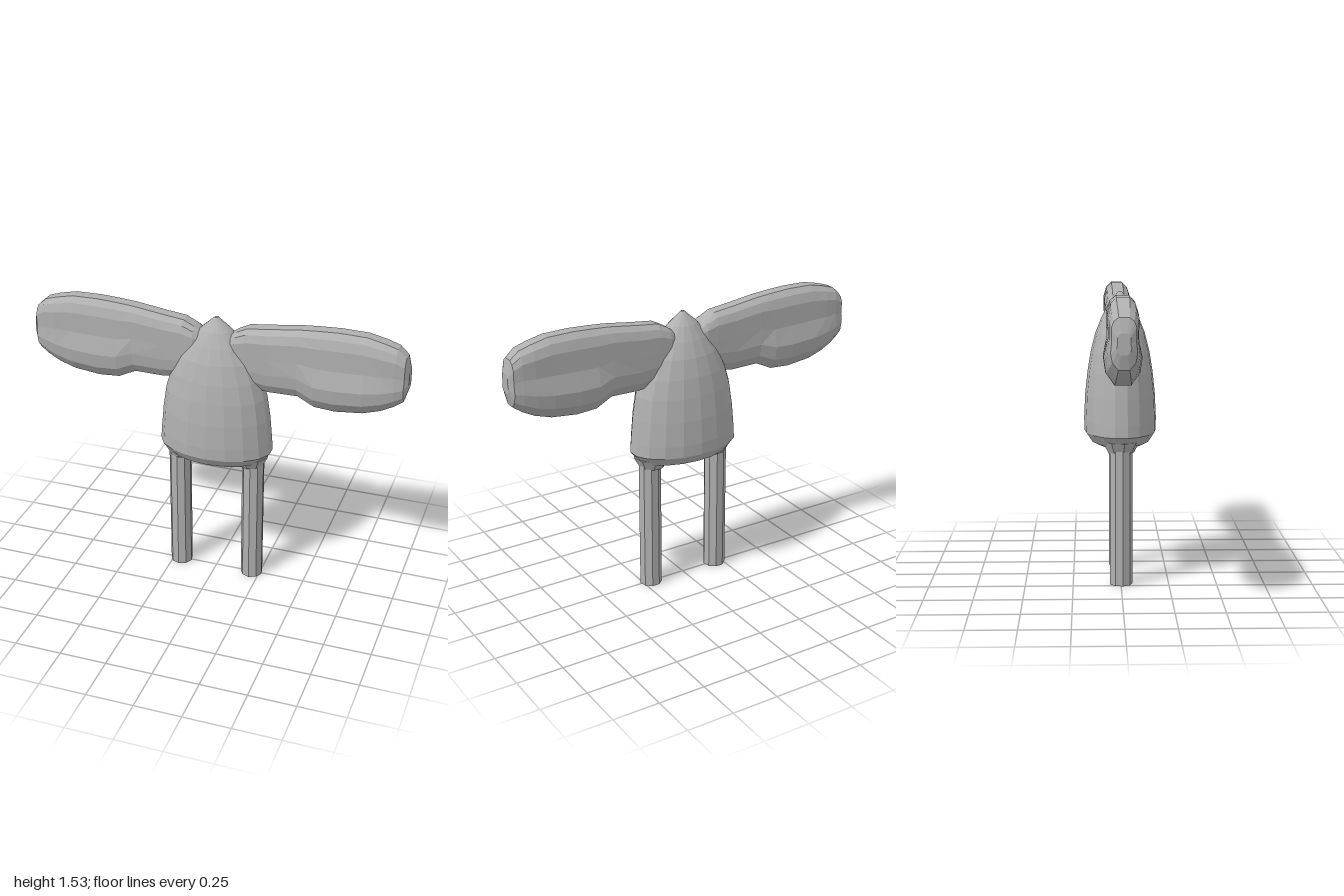
import * as THREE from 'three';

const grey = new THREE.MeshStandardMaterial({ color: 0xb0b0b0, flatShading: true });
grey.name = 'plain grey';

function add(group, name, geometry) {
  const mesh = new THREE.Mesh(geometry, grey);
  mesh.name = name;
  group.add(mesh);
  return mesh;
}

// Skin a closed surface over rings of equal length, with a fan at each end
function loft(rings, flip) {
  const n = rings[0].length, pos = [], idx = [];
  const tri = (a, b, c) => (flip ? idx.push(a, c, b) : idx.push(a, b, c));
  rings.forEach(r => r.forEach(p => pos.push(...p)));
  for (let i = 0; i < rings.length - 1; i++) {
    for (let j = 0; j < n; j++) {
      const a = i * n + j, b = i * n + (j + 1) % n;
      tri(a, b, a + n);
      tri(b, b + n, a + n);
    }
  }
  [0, rings.length - 1].forEach(k => {
    const c = pos.length / 3;
    pos.push(...[0, 1, 2].map(d => rings[k].reduce((s, p) => s + p[d], 0) / n));
    for (let j = 0; j < n; j++) {
      const a = k * n + j, b = k * n + (j + 1) % n;
      if (k === 0) tri(c, b, a); else tri(c, a, b);
    }
  });
  const g = new THREE.BufferGeometry();
  g.setAttribute('position', new THREE.Float32BufferAttribute(pos, 3));
  g.setIndex(idx);
  g.computeVertexNormals();
  return g;
}

// Oval body: height, half width, half depth
function bodyGeometry() {
  const levels = [
    [0.72, 0.23, 0.12], [0.735, 0.265, 0.155], [0.785, 0.305, 0.188], [0.85, 0.3, 0.19],
    [0.98, 0.288, 0.184], [1.1, 0.27, 0.171], [1.2, 0.24, 0.155], [1.3, 0.195, 0.13],
    [1.38, 0.14, 0.098], [1.45, 0.082, 0.062], [1.515, 0.01, 0.01],
  ];
  const sides = 18;
  return loft(levels.map(([y, w, d]) => Array.from({ length: sides }, (_, i) => {
    const a = i / sides * Math.PI * 2;
    return [w * Math.sin(a), y, d * Math.cos(a)];
  })));
}

// Paddle-shaped wing: distance out, top, bottom, upper and lower half thickness
function wingGeometry(side) {
  const stations = [
    [0.06, 1.42, 1.26, 0.05, 0.05], [0.11, 1.455, 1.2, 0.07, 0.065], [0.17, 1.485, 1.17, 0.072, 0.068],
    [0.28, 1.498, 1.148, 0.072, 0.068], [0.44, 1.52, 1.152, 0.073, 0.075], [0.53, 1.527, 1.11, 0.073, 0.092],
    [0.64, 1.533, 1.103, 0.073, 0.095], [0.78, 1.53, 1.118, 0.073, 0.094], [0.87, 1.51, 1.145, 0.073, 0.085],
    [0.935, 1.49, 1.178, 0.068, 0.075], [0.98, 1.45, 1.21, 0.058, 0.062], [1.0, 1.38, 1.28, 0.03, 0.035],
  ];
  // depth down the section, share of thickness, blend towards the lower bulge
  const half = [[0, 0.42, 0], [0.07, 0.8, 0], [0.19, 1, 0], [0.45, 0.98, 0],
    [0.68, 1, 0.9], [0.86, 0.86, 1], [1, 0.42, 1]];
  const rings = stations.map(([x, top, bottom, upper, lower]) => {
    const point = sign => ([t, f, blend]) => [
      side * x, THREE.MathUtils.lerp(top, bottom, t),
      sign * f * THREE.MathUtils.lerp(upper, lower, blend) - 0.004];
    return [...half.map(point(-1)), ...half.map(point(1)).reverse()];
  });
  return loft(rings, side > 0);
}

export function createModel() {
  const model = new THREE.Group();
  model.name = 'wingedFigure';
  add(model, 'body', bodyGeometry());

  for (const side of [1, -1]) {
    const label = side > 0 ? 'left' : 'right';
    add(model, label + 'Wing', wingGeometry(side));

    // Straight faceted leg
    const leg = add(model, label + 'Leg', new THREE.CylinderGeometry(0.06, 0.06, 0.75, 9));
    leg.position.set(side * 0.205, 0.375, 0);

    // Short collar where the leg meets the body
    const collar = add(model, label + 'LegCollar', new THREE.CylinderGeometry(0.1, 0.068, 0.06, 9));
    collar.position.set(side * 0.19, 0.725, 0);
  }
  return model;
}
